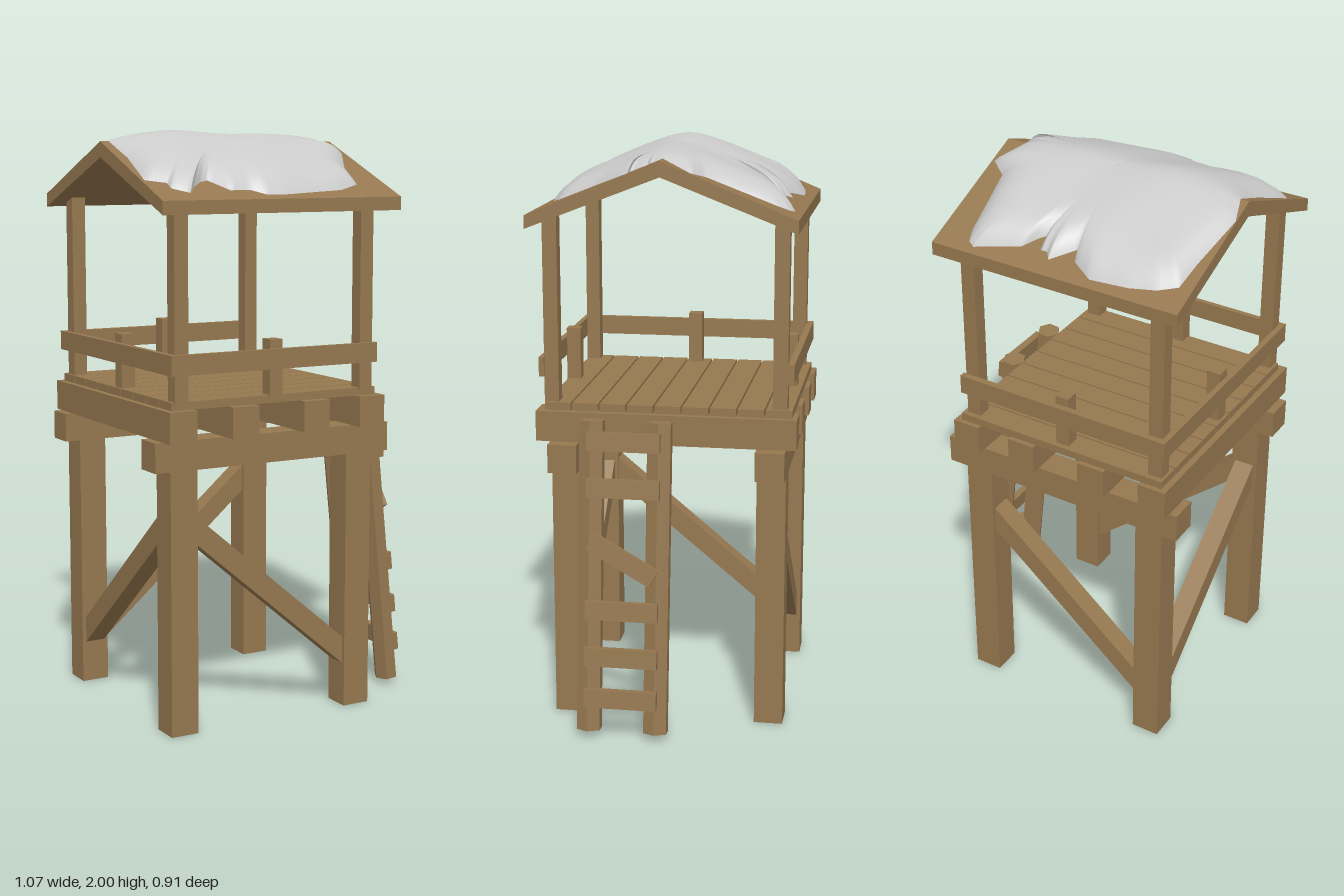
import * as THREE from 'three';

const wood = new THREE.MeshStandardMaterial({ color: 0x967850, flatShading: true });
const snowMat = new THREE.MeshStandardMaterial({ color: 0xcccccc, side: THREE.DoubleSide });

function add(parent, name, geometry, material = wood) {
  const mesh = new THREE.Mesh(geometry, material);
  mesh.name = name;
  parent.add(mesh);
  return mesh;
}

// Box given by its extents along each axis
function box(parent, name, [x0, x1], [y0, y1], [z0, z1]) {
  const mesh = add(parent, name, new THREE.BoxGeometry(x1 - x0, y1 - y0, z1 - z0));
  mesh.position.set((x0 + x1) / 2, (y0 + y1) / 2, (z0 + z1) / 2);
  return mesh;
}

// Square bar running between two points
function bar(parent, name, a, b, size) {
  const from = new THREE.Vector3(...a), to = new THREE.Vector3(...b);
  const mesh = add(parent, name, new THREE.BoxGeometry(size, size, from.distanceTo(to)));
  mesh.position.copy(from).lerp(to, 0.5);
  mesh.lookAt(to);
  return mesh;
}

function group(parent, name) {
  const g = new THREE.Group();
  g.name = name;
  parent.add(g);
  return g;
}

function buildFrame(parent) {
  const g = group(parent, 'frame');
  for (const z of [[0.29, 0.39], [-0.42, -0.32]]) {
    for (const x of [[-0.48, -0.38], [0.2, 0.3]]) box(g, 'leg', x, [0, 0.9], z);
    box(g, 'mainBeam', [-0.535, 0.37], [0.9, 1], z);
  }
  // One diagonal brace on the front, back and left-hand sides
  bar(g, 'frontBrace', [-0.42, 0.729, 0.34], [0.24, 0.166, 0.34], 0.072);
  bar(g, 'backBrace', [0.24, 0.729, -0.37], [-0.42, 0.166, -0.37], 0.072);
  bar(g, 'sideBrace', [-0.43, 0.735, 0.33], [-0.43, 0.162, -0.36], 0.072);
}

function buildPlatform(parent) {
  const g = group(parent, 'platform');
  for (const x of [-0.457, -0.225, 0.05, 0.272]) {
    box(g, 'joist', [x - 0.05, x + 0.05], [1, 1.105], [-0.455, 0.44]);
  }
  for (let i = 0; i < 9; i++) {
    const z = -0.438 + i * 0.095;
    box(g, 'floorPlank', [-0.485, 0.3], [1.105, 1.132], [z, z + 0.089]);
  }
  // Tall corner posts and short rail posts
  const left = [-0.475, -0.425], right = [0.235, 0.285];
  const front = [0.365, 0.415], back = [-0.42, -0.37];
  for (const x of [left, right]) {
    for (const z of [front, back]) box(g, 'roofPost', x, [1.12, 1.775], z);
  }
  for (const z of [front, back]) box(g, 'railPost', [-0.12, -0.072], [1.12, 1.317], z);
  box(g, 'railPost', left, [1.12, 1.317], [-0.027, 0.022]);
  // Rails on three sides; the ladder side stays open
  box(g, 'frontRail', [-0.49, 0.295], [1.22, 1.287], [0.414, 0.432]);
  box(g, 'backRail', [-0.49, 0.295], [1.22, 1.287], [-0.442, -0.419]);
  box(g, 'sideRail', [-0.495, -0.474], [1.22, 1.287], [-0.442, 0.432]);
}

function buildLadder(parent) {
  const g = group(parent, 'ladder');
  const length = 1.078;
  g.position.set(0.431, 0.559, 0.115);
  g.rotation.z = Math.atan2(0.112, 1.073);
  for (const z of [0.116, -0.116]) {
    // Six-sided uprights with a corner facing outwards
    const geo = new THREE.CylinderGeometry(0.046, 0.046, length, 6);
    geo.rotateY(Math.PI / 2).scale(0.87, 1, 1);
    add(g, 'ladderUpright', geo).position.z = z;
  }
  for (const y of [1.03, 0.872, 0.63, 0.452, 0.29, 0.145]) {
    const rung = add(g, 'rung', new THREE.BoxGeometry(0.025, 0.064, 0.25));
    rung.position.set(0.046, (y - 0.559) * 1.005, 0);
    if (y === 0.63) rung.rotation.x = -0.5; // the broken, slipped rung
  }
}

const roofTop = (z) => 1.965 - 0.406 * Math.abs(z);

function buildRoof(parent) {
  const shape = new THREE.Shape([
    [-0.455, 1.735], [0, 1.912], [0.455, 1.735], [0.455, 1.78], [0, 1.965], [-0.455, 1.78],
  ].map(([u, v]) => new THREE.Vector2(u, v)));
  const geo = new THREE.ExtrudeGeometry(shape, { depth: 0.905, bevelEnabled: false });
  geo.rotateY(Math.PI / 2).translate(-0.535, 0, 0);
  add(parent, 'roof', geo);
}

// Soft sheet with a ragged edge, made of rings shrinking towards its middle
function buildSnow(parent) {
  const outline = [
    [-0.49, -0.364], [-0.43, -0.395], [-0.34, -0.415], [-0.207, -0.425], [-0.127, -0.38],
    [-0.12, -0.327], [-0.04, -0.398], [-0.02, -0.373], [0.005, -0.373], [-0.015, -0.293],
    [0.035, -0.335], [0.073, -0.38], [0.224, -0.43], [0.25, -0.415], [0.267, -0.37],
    [0.3, -0.145], [0.36, -0.1], [0.3, 0], [0.295, 0.04], [0.325, 0.05], [0.32, 0.105],
    [0.353, 0.11], [0.287, 0.23], [0.253, 0.36], [0.165, 0.4], [-0.07, 0.427],
    [-0.14, 0.425], [-0.18, 0.39], [-0.255, 0.39], [-0.3, 0.315], [-0.33, 0.325],
    [-0.372, 0.36], [-0.41, 0.405], [-0.46, 0.37], [-0.455, 0.33], [-0.525, 0.307],
    [-0.5, 0.135], [-0.505, 0], [-0.533, -0.085], [-0.5, -0.27],
  ];
  const cx = -0.08, steps = 4, count = outline.length * steps;
  const rim = [];
  outline.forEach(([x, z], i) => {
    const [nx, nz] = outline[(i + 1) % outline.length];
    for (let k = 0; k < steps; k++) {
      rim.push([x + (nx - x) * k / steps, z + (nz - z) * k / steps]);
    }
  });
  const rings = [1, 0.985, 0.96, 0.92, 0.86, 0.78, 0.68, 0.56, 0.44, 0.32, 0.2, 0.1, 0.001];
  const positions = [], index = [];
  rings.forEach((s, r) => {
    rim.forEach(([px, pz], i) => {
      const x = cx + (px - cx) * s, z = pz * s;
      const fill = 1 - s ** 10;
      const wave = 0.006 * Math.sin(x * 9 + 3.6) * Math.cos(z * 5) + 0.004 * Math.sin(x * 17 + z * 8);
      const drift = 1.965 - 0.406 * Math.sqrt(z * z + 0.006) + 0.059 + wave;
      positions.push(x, roofTop(z) + 0.001 + (drift - roofTop(z)) * fill, z);
      if (r === 0) return;
      const j = (i + 1) % count, outer = (r - 1) * count, inner = r * count;
      index.push(outer + j, outer + i, inner + i, outer + j, inner + i, inner + j);
    });
  });
  const geo = new THREE.BufferGeometry();
  geo.setAttribute('position', new THREE.Float32BufferAttribute(positions, 3));
  geo.setIndex(index);
  geo.computeVertexNormals();
  add(parent, 'snowCover', geo, snowMat);
}

export function createModel() {
  const tower = new THREE.Group();
  tower.name = 'watchtower';
  buildFrame(tower);
  buildPlatform(tower);
  buildLadder(tower);
  buildRoof(tower);
  buildSnow(tower);
  return tower;
}
